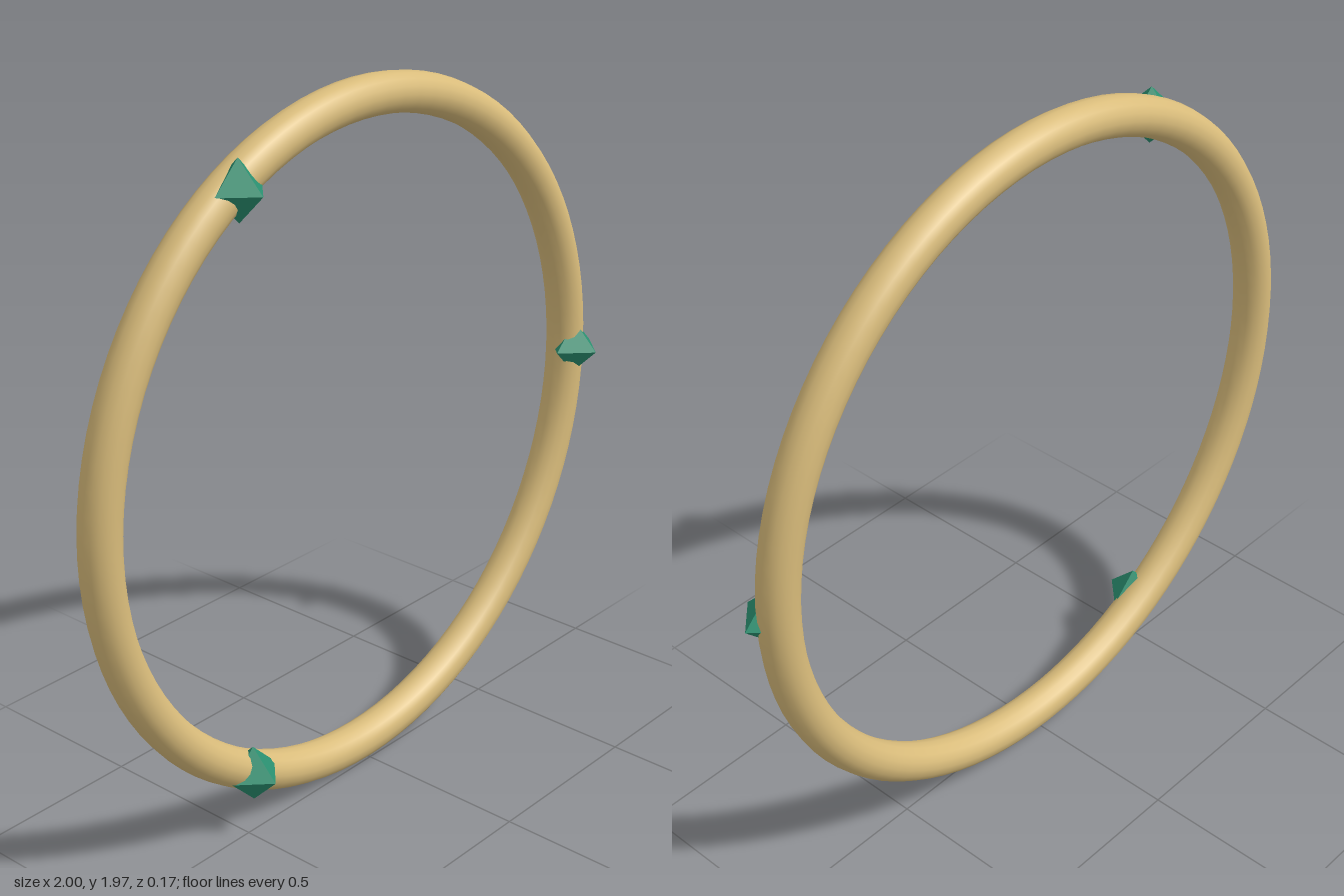
import * as THREE from 'three';

const RING_RADIUS = 0.932;
const TUBE_RADIUS = 0.055;
const GEM_RADIUS = 0.081;

export function createModel() {
  const model = new THREE.Group();
  model.name = 'gemRing';

  const gold = new THREE.MeshStandardMaterial({ color: 0xd9bc7b });
  gold.name = 'pale gold';
  const green = new THREE.MeshStandardMaterial({ color: 0x2a9070, flatShading: true });
  green.name = 'emerald green';

  // Ring and gems share one centre; the ring rests on the ground
  const body = new THREE.Group();
  body.name = 'ringWithGems';
  body.position.set(-0.013, RING_RADIUS + TUBE_RADIUS, -0.029);
  model.add(body);

  // Upright smooth hoop
  const ring = new THREE.Mesh(new THREE.TorusGeometry(RING_RADIUS, TUBE_RADIUS, 16, 96), gold);
  ring.name = 'ring';
  body.add(ring);

  // Three octahedral gems half sunk into the front, all upright
  const gemGeometry = new THREE.OctahedronGeometry(GEM_RADIUS);
  for (let i = 0; i < 3; i++) {
    const angle = (i * Math.PI * 2) / 3;
    const gem = new THREE.Mesh(gemGeometry, green);
    gem.name = `gem${i + 1}`;
    gem.position.set(Math.cos(angle) * RING_RADIUS, Math.sin(angle) * RING_RADIUS, 0.032);
    body.add(gem);
  }

  return model;
}
